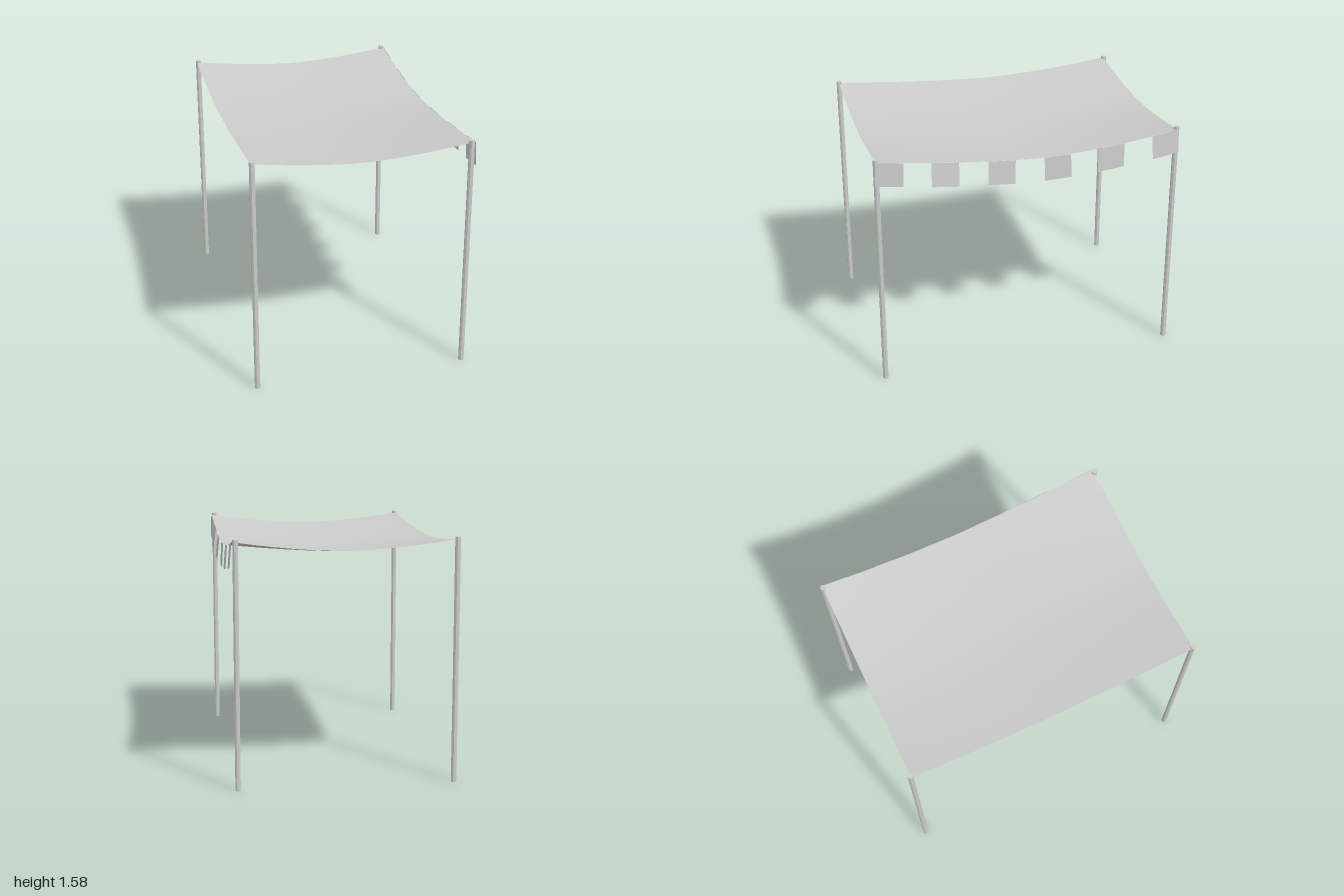
import * as THREE from 'three';

const X0 = -0.72, X1 = 0.70, Z = 0.985;

// height of the sagging cloth at a point
function clothY(x, z) {
  const u = Math.min(1, Math.abs((x - (X0 + X1) / 2) / ((X1 - X0) / 2)));
  const v = Math.min(1, Math.abs((z + 0.1 * (1 - (z / Z) ** 2)) / Z));
  const a = 1 - u ** 1.7, b = 1 - v ** 1.65;
  const side = 0.08 + 0.012 * x / X1;
  return 1.567 - 0.065 * a - side * b + 0.02 * a * b;
}

// grid surface from a function of (s, t) in 0..1
function sheet(ns, nt, fn) {
  const geo = new THREE.PlaneGeometry(1, 1, ns, nt);
  const p = geo.attributes.position;
  for (let i = 0; i < p.count; i++) {
    p.setXYZ(i, ...fn(p.getX(i) + 0.5, 0.5 - p.getY(i)));
  }
  geo.computeVertexNormals();
  return geo;
}

export function createModel() {
  const group = new THREE.Group();
  const metal = new THREE.MeshStandardMaterial({ color: 0xcccccc, flatShading: true });
  const cloth = new THREE.MeshStandardMaterial({ color: 0xcccccc, side: THREE.DoubleSide });

  // four corner posts
  const postGeo = new THREE.CylinderGeometry(0.018, 0.018, 1.58, 8);
  postGeo.rotateY(Math.PI / 8);
  for (const x of [-0.71, 0.68]) {
    for (const z of [-Z, Z]) {
      const post = new THREE.Mesh(postGeo, metal);
      post.name = 'post';
      post.position.set(x, 0.79, z);
      group.add(post);
    }
  }

  // sagging canopy
  const canopy = new THREE.Mesh(sheet(20, 28, (s, t) => {
    const x = X0 + (X1 - X0) * s, z = -Z + 2 * Z * t;
    return [x, clothY(x, z), z];
  }), cloth);
  canopy.name = 'canopy';
  group.add(canopy);

  // hanging flaps along the left edge: centre z, outward lean, sideways drift
  const flaps = [
    [0.905, 0.006, 0.006], [0.555, 0.02, 0.004], [0.19, 0.016, 0.006],
    [-0.175, 0.009, -0.004], [-0.535, 0.012, 0.004], [-0.898, 0.013, -0.008],
  ];
  for (const [zc, lean, drift] of flaps) {
    const flap = new THREE.Mesh(sheet(4, 3, (s, t) => {
      const z = zc + 0.088 * (1 - 2 * s);
      return [X1 + 0.003 + lean * t, clothY(X1, z) - 0.155 * t, z + drift * t];
    }), cloth);
    flap.name = 'flap';
    group.add(flap);
  }
  return group;
}
